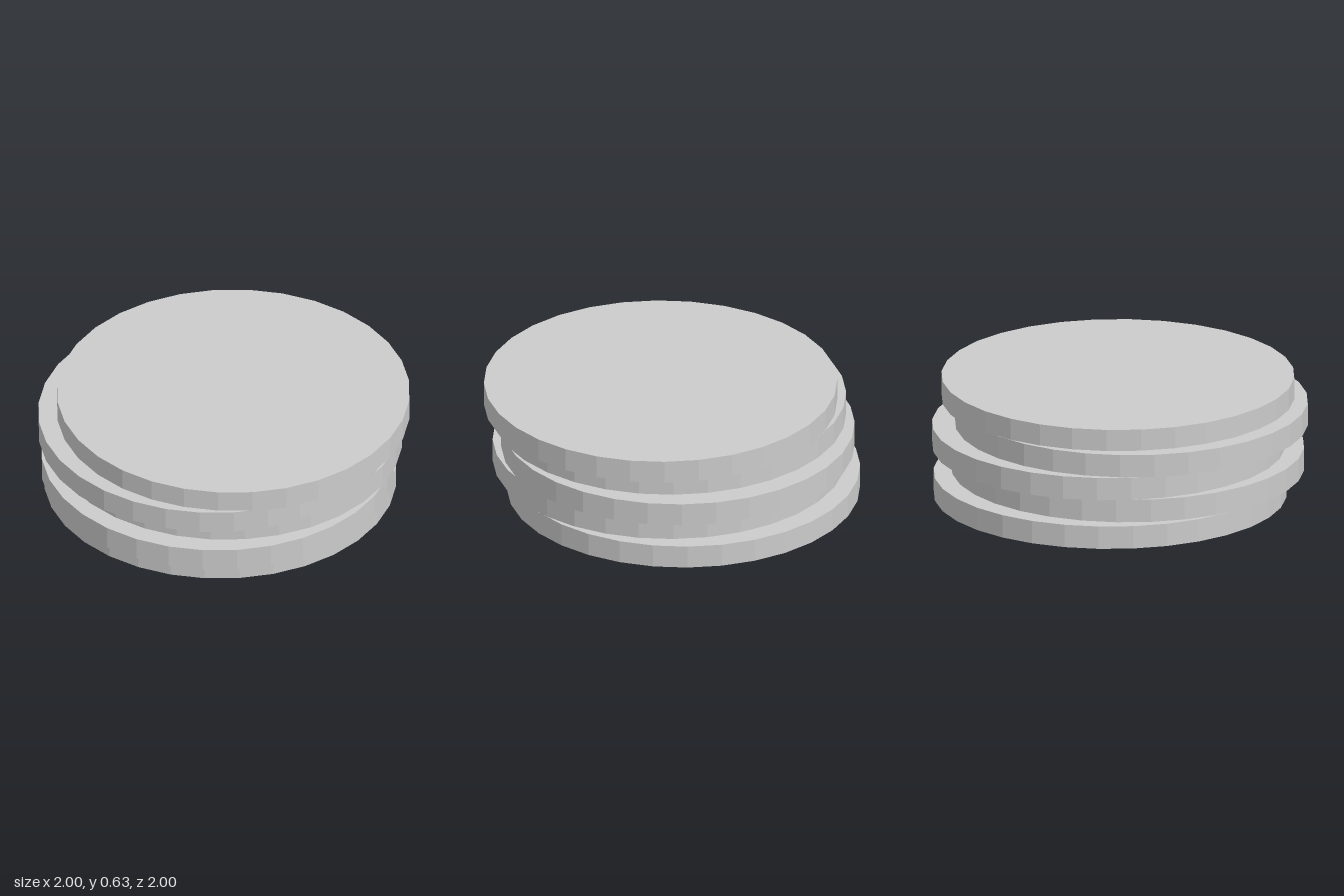
import * as THREE from 'three';

// A loose stack of five flat discs, each slid a little off centre.
export function createModel() {
  const group = new THREE.Group();
  const material = new THREE.MeshStandardMaterial({ color: 0xcccccc, flatShading: true });
  const radius = 0.94;
  const height = 0.125;
  const geometry = new THREE.CylinderGeometry(radius, radius, height, 32);

  // Offset in x, height of the underside, offset in z, from bottom to top
  const placements = [
    [0.05, 0, -0.057],
    [-0.04, 0.132, 0],
    [0.06, 0.261, -0.025],
    [-0.06, 0.385, -0.005],
    [0.016, 0.503, 0.06],
  ];
  placements.forEach(([x, y, z], i) => {
    const disc = new THREE.Mesh(geometry, material);
    disc.name = `disc${i + 1}`;
    disc.position.set(x, y + height / 2, z);
    group.add(disc);
  });
  return group;
}
